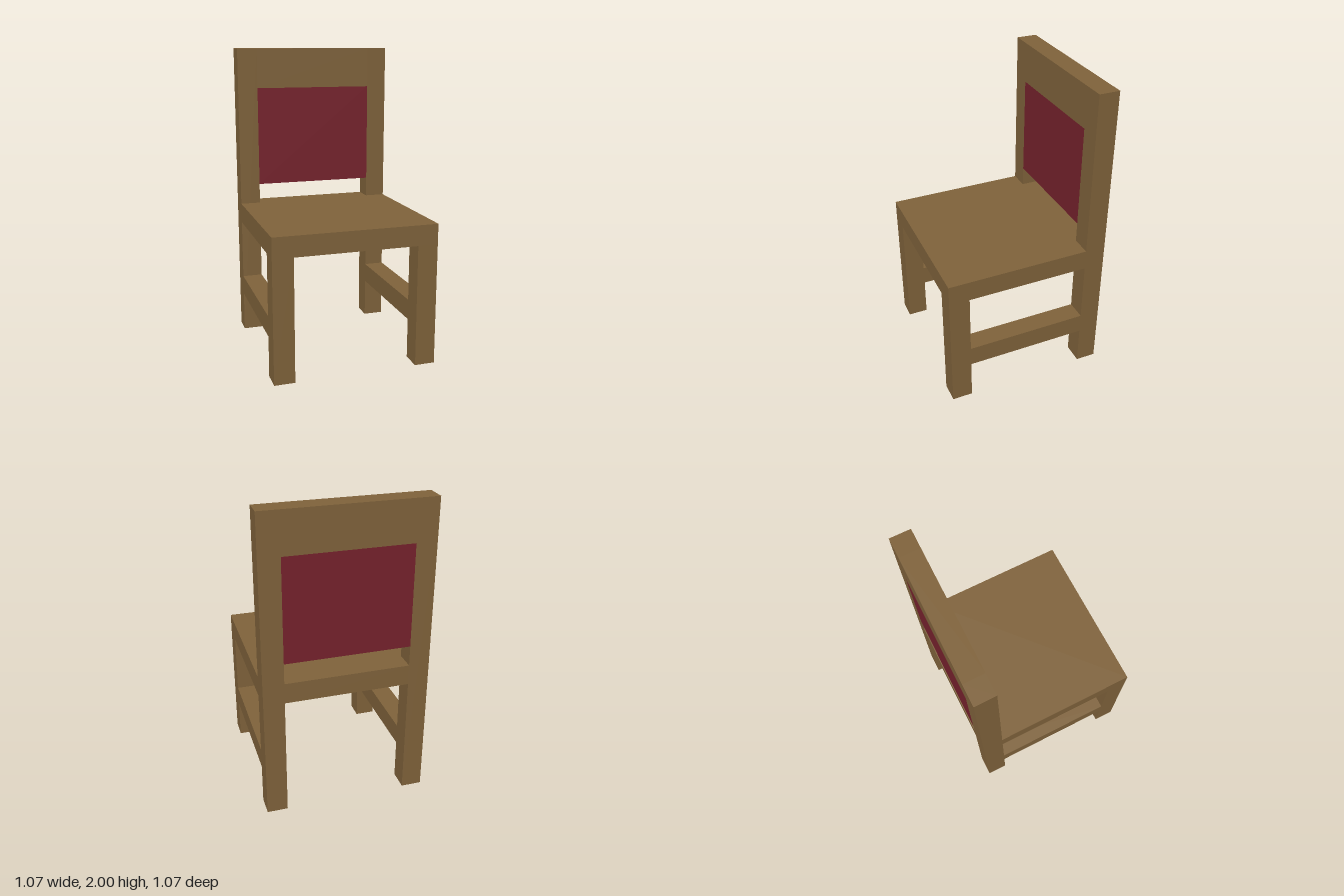
import * as THREE from 'three';

// All dimensions are multiples of one square timber thickness.
const U = 2 / 15;

export function createModel() {
  const chair = new THREE.Group();
  chair.name = 'chair';

  const wood = new THREE.MeshStandardMaterial({ color: 0x80633b });
  wood.name = 'brown wood';
  const fabric = new THREE.MeshStandardMaterial({ color: 0x77222d });
  fabric.name = 'dark red fabric';

  // Box given by its [min, max] extents in timber units
  function addBox(name, material, [x0, x1], [y0, y1], [z0, z1]) {
    const geometry = new THREE.BoxGeometry((x1 - x0) * U, (y1 - y0) * U, (z1 - z0) * U);
    const mesh = new THREE.Mesh(geometry, material);
    mesh.name = name;
    mesh.position.set((x0 + x1) / 2 * U, (y0 + y1) / 2 * U, (z0 + z1) / 2 * U);
    chair.add(mesh);
  }

  // Legs and side stretchers, mirrored left and right
  for (const [side, x] of [['left', [3, 4]], ['right', [-4, -3]]]) {
    addBox(`${side}FrontLeg`, wood, x, [0, 6], [3, 4]);
    addBox(`${side}BackPost`, wood, x, [0, 15], [-4, -3]);
    addBox(`${side}Stretcher`, wood, x, [2, 3], [-3, 3]);
  }

  // Seat slab, with its rear edge filling the gap between the posts
  addBox('seat', wood, [-4, 4], [6, 7], [-3, 4]);
  addBox('seatRearEdge', wood, [-3, 3], [6, 7], [-4, -3]);

  // Backrest
  addBox('topRail', wood, [-3, 3], [13, 15], [-4, -3]);
  addBox('backPanel', fabric, [-3, 3], [8, 13], [-4, -3]);

  return chair;
}
